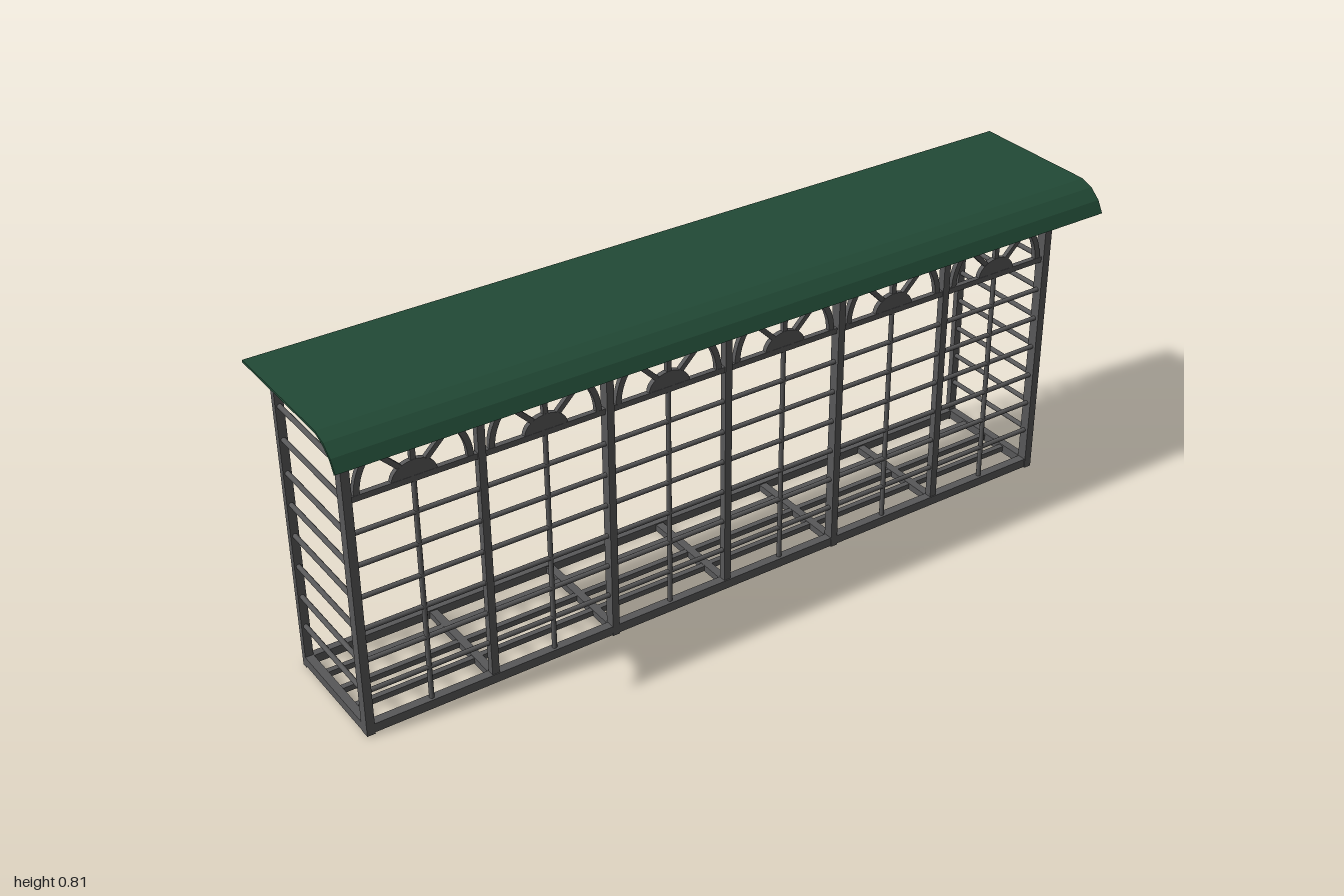
import * as THREE from 'three';

const steel = new THREE.MeshStandardMaterial({ color: 0x585859 });
steel.name = 'dark grey steel';
const green = new THREE.MeshStandardMaterial({ color: 0x224a36 });
green.name = 'green roof';

export function createModel() {
  const model = new THREE.Group();
  const add = (name, geo, mat = steel, parent = model) => {
    const mesh = new THREE.Mesh(geo, mat);
    mesh.name = name;
    parent.add(mesh);
    return mesh;
  };
  // box given by its extents on each axis
  const bar = (name, x0, x1, y0, y1, z0, z1) =>
    add(name, new THREE.BoxGeometry(x1 - x0, y1 - y0, z1 - z0))
      .position.set((x0 + x1) / 2, (y0 + y1) / 2, (z0 + z1) / 2);
  // round rod along one axis
  const rod = (name, axis, length, x, y, z, r = 0.006) => {
    const geo = new THREE.CylinderGeometry(r, r, length, 10);
    if (axis === 'x') geo.rotateZ(Math.PI / 2);
    if (axis === 'z') geo.rotateX(Math.PI / 2);
    add(name, geo).position.set(x, y, z);
  };
  // side profile of [z, y] points, extruded along x
  const profile = (name, pts, width, x, mat) => {
    const shape = new THREE.Shape(pts.map(([z, y]) => new THREE.Vector2(z, y)));
    const geo = new THREE.ExtrudeGeometry(shape, { depth: width, bevelEnabled: false });
    geo.translate(0, 0, -width / 2).rotateY(-Math.PI / 2);
    add(name, geo, mat).position.x = x;
  };

  const bay = 0.312, end = 0.935, frontZ = 0.0925;
  const rungs = [0.113, 0.193, 0.274, 0.355, 0.435, 0.515];

  // corner posts and side walls
  for (const s of [-1, 1]) {
    const x = s * end;
    bar('frontCornerPost', x - 0.01, x + 0.01, 0.005, 0.766, 0.08, 0.106);
    bar('backCornerPost', x - 0.01, x + 0.01, 0.002, 0.8, -0.205, -0.19);
    bar('sideBottomRail', x - 0.01, x + 0.01, 0.007, 0.03, -0.2, 0.08);
    bar('sideTopRail', x - 0.01, x + 0.01, 0.745, 0.764, -0.19, 0.08);
    for (const y of [...rungs, 0.598, 0.68]) rod('sideRung', 'z', 0.272, x, y, -0.055);
  }

  // front wall frame
  bar('frontBottomRail', -end, end, 0.007, 0.03, 0.082, 0.104);
  bar('frontTopRail', -end, end, 0.745, 0.764, 0.083, 0.102);
  bar('archBaseRail', -end, end, 0.592, 0.606, 0.086, 0.099);
  for (const y of rungs) rod('frontRung', 'x', 2 * end, 0, y, frontZ);
  for (let i = -2; i <= 2; i++) {
    const d = Math.abs(i) === 1 ? 0.013 : 0.009;
    bar('frontPost', i * bay - 0.009, i * bay + 0.009, 0.005, 0.764, frontZ - d, frontZ + d);
  }

  // fan arch in each bay
  const ring = new THREE.Shape();
  ring.absarc(0, 0, 0.138, 0, Math.PI, false);
  ring.absarc(0, 0, 0.124, Math.PI, 0, true);
  const hub = new THREE.Shape();
  hub.absellipse(0, 0, 0.053, 0.04, 0, Math.PI, false, 0);
  const plate = { depth: 0.012, bevelEnabled: false, curveSegments: 16 };
  for (let i = 0; i < 6; i++) {
    const x = (i - 2.5) * bay;
    rod('frontUpright', 'y', 0.57, x, 0.31, frontZ);
    const fan = new THREE.Group();
    fan.name = 'fanArch';
    fan.position.set(x, 0.604, frontZ);
    model.add(fan);
    add('archRing', new THREE.ExtrudeGeometry(ring, plate).translate(0, 0, -0.006), steel, fan);
    add('archHub', new THREE.ExtrudeGeometry(hub, plate).translate(0, 0, -0.006), steel, fan);
    for (const a of [45, 90, 135]) {
      const spoke = new THREE.BoxGeometry(0.1, 0.012, 0.011).translate(0.08, 0, 0);
      add('archSpoke', spoke, steel, fan).rotation.z = THREE.MathUtils.degToRad(a);
    }
  }

  // floor frame
  bar('backBottomRail', -end, end, 0.008, 0.03, -0.204, -0.186);
  for (const z of [-0.125, -0.055, 0.015]) bar('floorSlat', -end, end, 0.012, 0.026, z - 0.007, z + 0.007);
  for (let i = -2; i <= 2; i++)
    bar('floorCrossbar', i * bay - 0.01, i * bay + 0.01, 0.01, 0.027, -0.21, 0.085);

  // roof frame
  bar('backTopBeam', -0.955, 0.955, 0.771, 0.8, -0.205, -0.184);
  for (const z of [-0.11, -0.03, 0.05, 0.13]) bar('purlin', -0.955, 0.955, 0.785, 0.8, z - 0.009, z + 0.009);
  for (const x of [-end, -bay, bay, end])
    profile('rafter', [[-0.2, 0.772], [0.135, 0.772], [0.16, 0.763], [0.17, 0.787],
      [0.135, 0.801], [-0.2, 0.801]], 0.02, x, steel);

  // curved roof sheet
  const top = [[-0.198, 0.808], [0.135, 0.808], [0.167, 0.797], [0.194, 0.774], [0.21, 0.746]];
  const under = [[0.204, 0.742], [0.189, 0.769], [0.163, 0.791], [0.134, 0.802], [-0.198, 0.802]];
  profile('roofSheet', [...top, ...under], 2, 0, green);

  return model;
}
